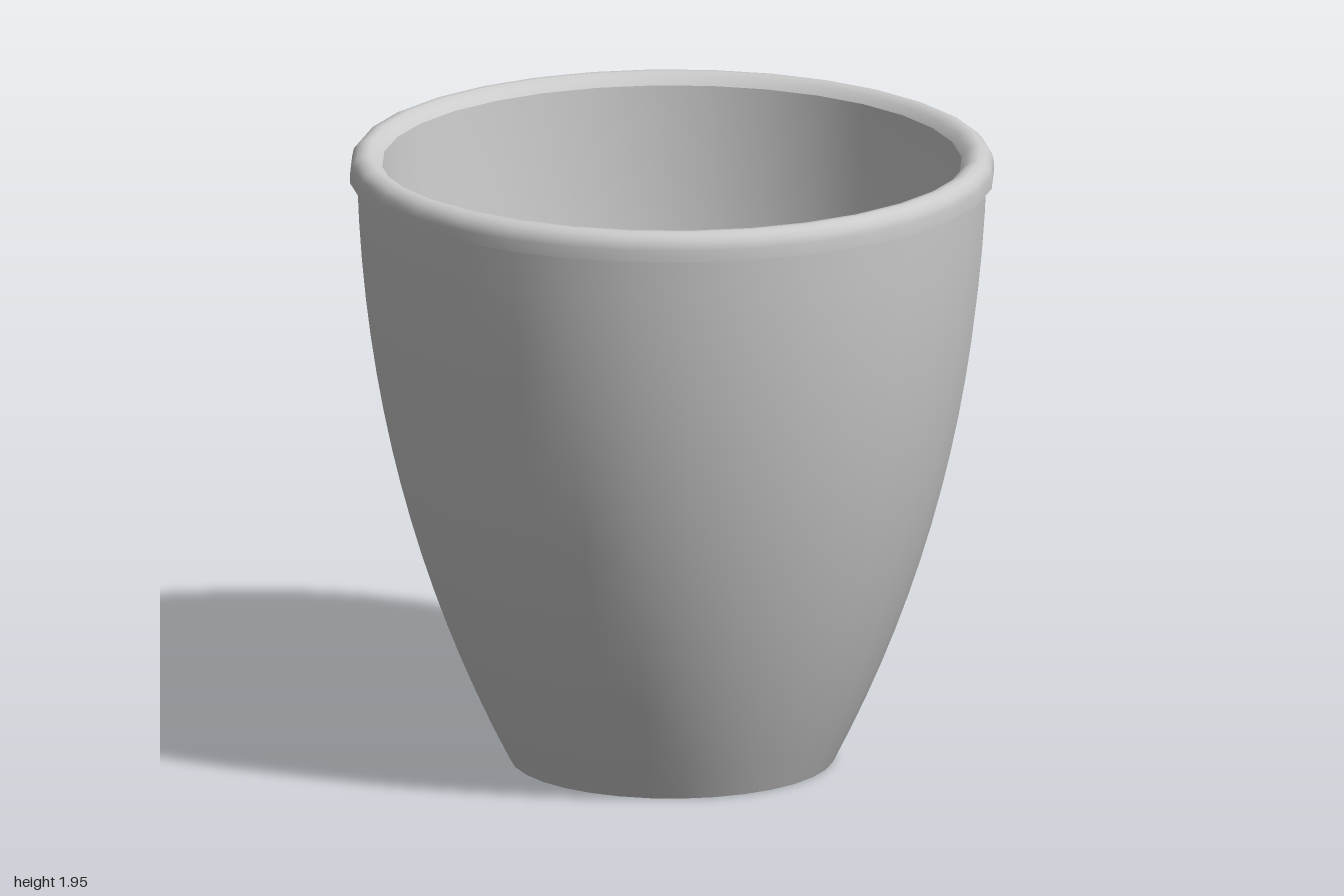
import * as THREE from 'three';

const SIDES = 32;
const material = new THREE.MeshStandardMaterial({ color: 0xcccccc, side: THREE.DoubleSide });
const v = (x, y) => new THREE.Vector2(x, y);

// Revolve a profile; separate calls keep the edges between parts sharp
function turned(name, points) {
  const mesh = new THREE.Mesh(new THREE.LatheGeometry(points, SIDES), material);
  mesh.name = name;
  return mesh;
}

export function createModel() {
  const pot = new THREE.Group();
  pot.name = 'pot';

  // Outer wall, flaring from the foot and turning upright at the rim
  const outer = new THREE.QuadraticBezierCurve(v(0.504, 0), v(0.945, 0.85), v(0.978, 1.858));
  pot.add(turned('outerWall', outer.getPoints(16)));

  // Flat underside
  pot.add(turned('base', [v(0, 0), v(0.504, 0)]));

  // Rim: flat underside, short upright band, rounded top sloping to the inner edge
  pot.add(turned('rimUnderside', [v(0.978, 1.858), v(1, 1.858)]));
  pot.add(turned('rim', [
    v(1, 1.858), v(1, 1.895), v(0.995, 1.918), v(0.98, 1.936), v(0.96, 1.945),
    v(0.94, 1.945), v(0.918, 1.932), v(0.9, 1.91),
  ]));

  // Inner wall of even thickness, shaded softly into the floor
  const inner = new THREE.QuadraticBezierCurve(v(0.9, 1.91), v(0.858, 0.87), v(0.51, 0.145));
  pot.add(turned('innerWall', [...inner.getPoints(6), v(0, 0.145)]));

  return pot;
}
